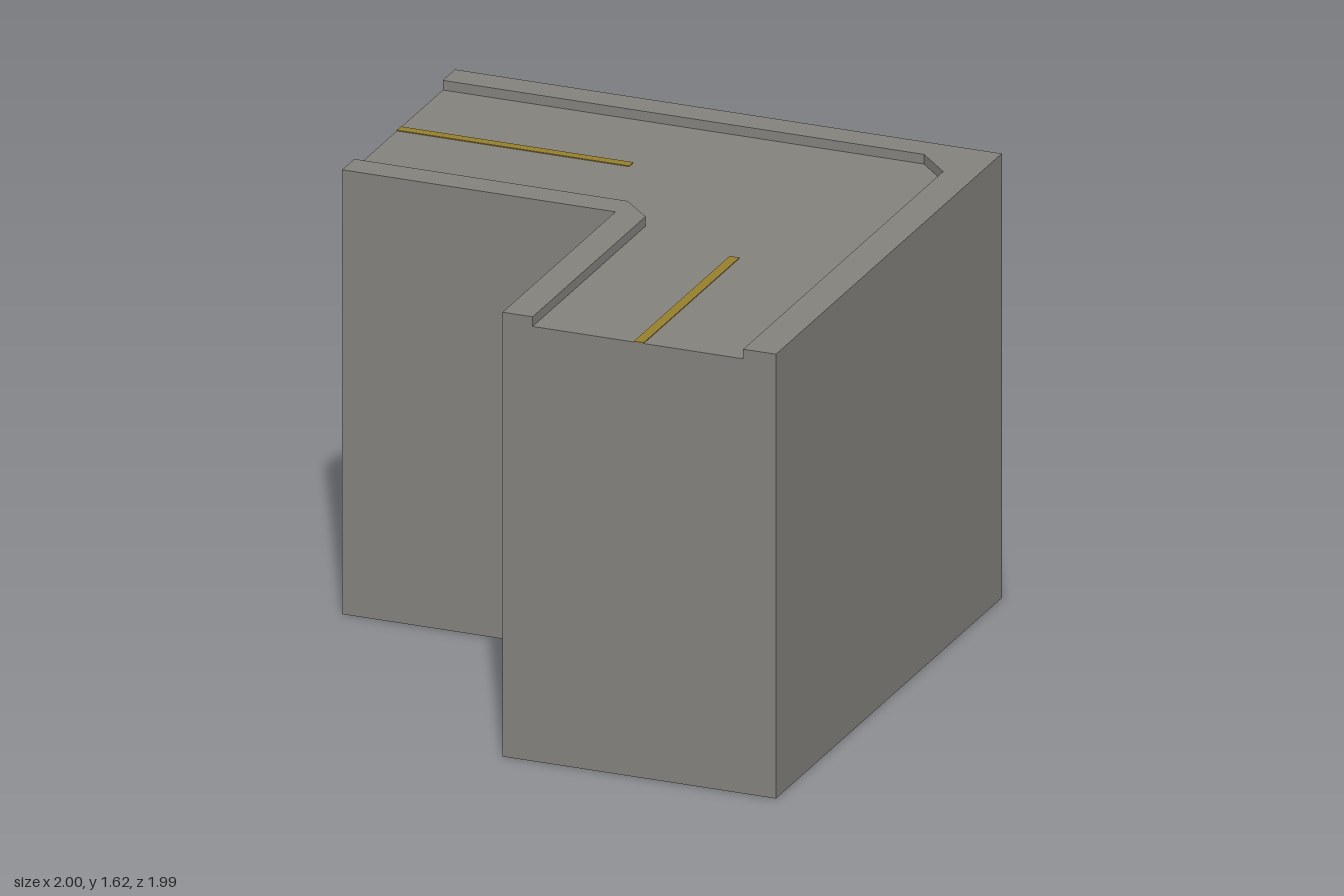
import * as THREE from 'three';

const TOP = 1.615, ROAD = 1.58, D = 0.993;

const concrete = new THREE.MeshStandardMaterial({ color: 0x84827d, side: THREE.DoubleSide });
concrete.name = 'concrete grey';
const paint = new THREE.MeshStandardMaterial({ color: 0x967f2c });
paint.name = 'road paint yellow';

// Kerb and wall outlines as [x, z]
const outerWall = [[1, D], [1, -D], [-1, -D]];
const outerKerb = [[-1, -0.885], [0.76, -0.885], [0.88, -0.765], [0.88, D]];
const innerWall = [[-1, 0], [0, 0], [0, D]];
const innerKerb = [[0.11, D], [0.11, 0], [0, -0.107], [-1, -0.107]];

const polygon = (pts) => new THREE.ShapeGeometry(new THREE.Shape(pts.map(([x, y]) => new THREE.Vector2(x, y))));

// Horizontal face at height y
const slab = (pts, y) => polygon(pts.map(([x, z]) => [x, -z])).rotateX(-Math.PI / 2).translate(0, y, 0);

// Vertical faces along a path
function ribbon(path, y0, y1) {
  const pos = [];
  for (let i = 0; i < path.length - 1; i++) {
    const [ax, az] = path[i], [bx, bz] = path[i + 1];
    pos.push(ax, y0, az, bx, y0, bz, bx, y1, bz, ax, y0, az, bx, y1, bz, ax, y1, az);
  }
  const g = new THREE.BufferGeometry();
  g.setAttribute('position', new THREE.Float32BufferAttribute(pos, 3));
  g.computeVertexNormals();
  return g;
}

// End wall notched down to road level between the kerbs
const endWall = (a, k1, k2, b) => polygon([
  [a, 0], [b, 0], [b, TOP], [k2, TOP], [k2, ROAD], [k1, ROAD], [k1, TOP], [a, TOP],
]);

export function createModel() {
  const group = new THREE.Group();
  group.name = 'elevatedRoadCorner';
  const add = (name, geometry, material = concrete) => {
    const mesh = new THREE.Mesh(geometry, material);
    mesh.name = name;
    group.add(mesh);
    return mesh;
  };

  // Hollow block, open underneath
  add('outerWall', ribbon(outerWall, 0, TOP));
  add('innerWall', ribbon(innerWall, 0, TOP));
  add('frontEndWall', endWall(0, 0.11, 0.88, 1).translate(0, 0, D));
  add('sideEndWall', endWall(-D, -0.885, -0.107, 0).rotateY(-Math.PI / 2).translate(-1, 0, 0));

  // Sunken road and raised kerbs
  add('roadSurface', slab([...outerKerb, ...innerKerb], ROAD));
  add('outerKerbTop', slab([...outerWall, ...outerKerb], TOP));
  add('innerKerbTop', slab([...innerWall, ...innerKerb], TOP));
  add('outerKerbFace', ribbon(outerKerb, ROAD, TOP));
  add('innerKerbFace', ribbon(innerKerb, ROAD, TOP));

  // Painted centre lines
  add('sideCentreLine', new THREE.BoxGeometry(0.85, 0.003, 0.036), paint).position.set(-0.575, ROAD + 0.0015, -0.498);
  add('frontCentreLine', new THREE.BoxGeometry(0.036, 0.003, 0.843), paint).position.set(0.498, ROAD + 0.0015, 0.5715);

  return group;
}
